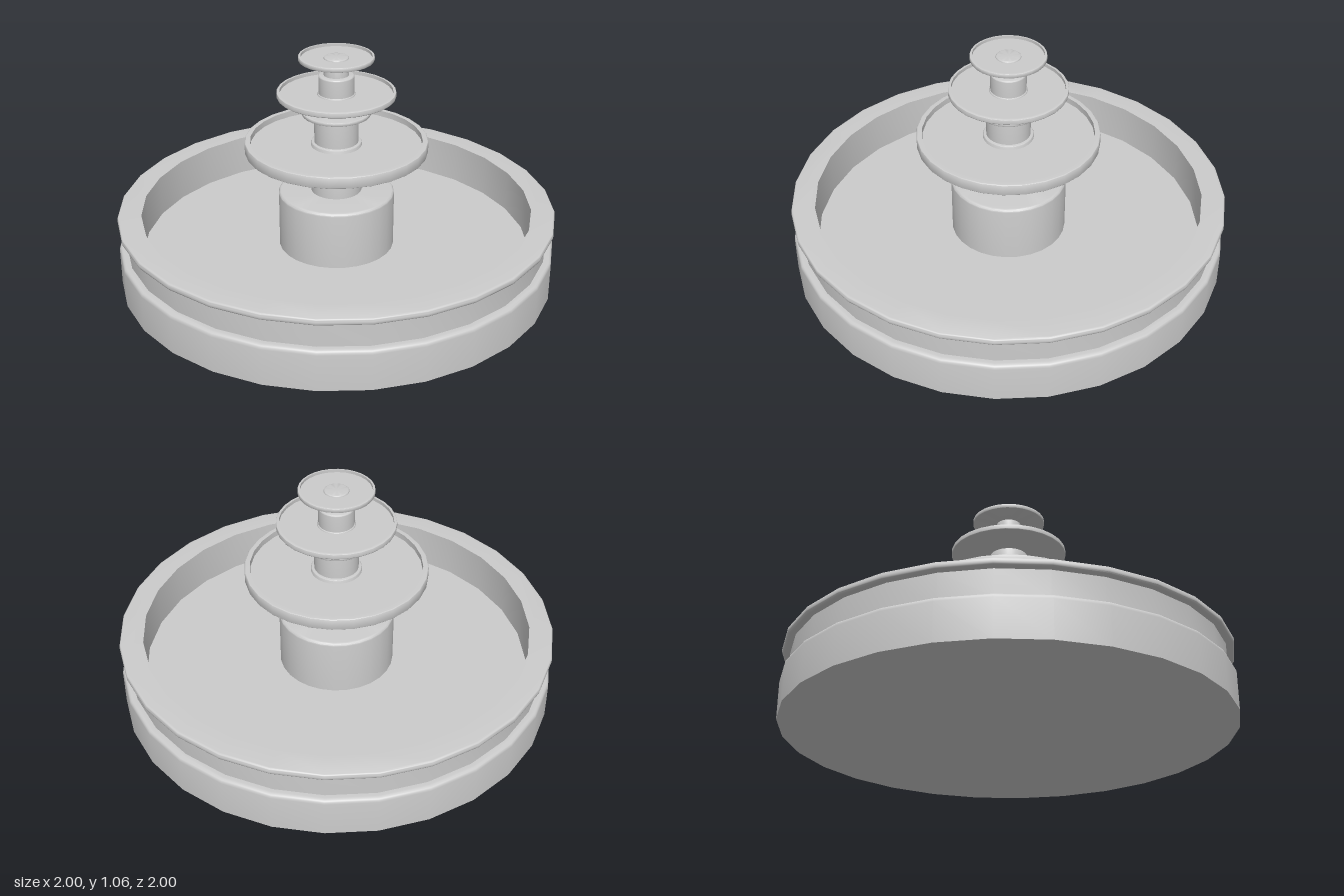
import * as THREE from 'three';
import { toCreasedNormals } from 'three/addons/utils/BufferGeometryUtils.js';

const SIDES = 28;
const material = new THREE.MeshStandardMaterial({ color: 0xcccccc });

// Replaces each corner [radius, y, rounding] of a profile by a short arc.
function roundProfile(corners) {
  const points = [];
  corners.forEach(([r, y, rounding = 0], i) => {
    const corner = new THREE.Vector2(r, y);
    if (!rounding) return points.push(corner);
    const toward = ([r2, y2]) =>
      new THREE.Vector2(r2, y2).sub(corner).setLength(rounding).add(corner);
    const arc = new THREE.QuadraticBezierCurve(toward(corners[i - 1]), corner, toward(corners[i + 1]));
    points.push(...arc.getPoints(4));
  });
  return points;
}

// Turned part: the profile runs from the bottom centre outwards, up and back to the axis.
function turned(name, corners) {
  const lathe = new THREE.LatheGeometry(roundProfile(corners), SIDES);
  const mesh = new THREE.Mesh(toCreasedNormals(lathe, 0.6), material);
  mesh.name = name;
  return mesh;
}

// Solid drum with a rounded top edge.
function drum(name, radius, bottom, top, rounding) {
  return turned(name, [[0, bottom], [radius, bottom], [radius, top, rounding], [0, top]]);
}

// Shallow dish with a raised lip around a sunken floor.
function dish(name, radius, bottom, top, lip, floor) {
  const e = Math.min(0.006, lip * 0.4);
  return turned(name, [
    [0, bottom], [radius, bottom, e], [radius, top, e],
    [radius - lip, top], [radius - lip, floor], [0, floor],
  ]);
}

export function createModel() {
  const model = new THREE.Group();
  model.name = 'tieredFountain';

  // Basin: wide foot, recessed wall, overhanging rim and sunken floor
  model.add(turned('basin', [
    [0, 0], [1, 0], [1, 0.187, 0.02], [0.965, 0.187],
    [0.965, 0.303], [1, 0.303, 0.012], [1, 0.334, 0.012],
    [0.892, 0.334], [0.892, 0.14], [0, 0.14],
  ]));

  // Pedestal and the stepped column
  model.add(drum('pedestal', 0.265, 0.14, 0.41, 0.015));
  const columns = [
    [0.115, 0.4, 0.65],
    [0.1, 0.64, 0.785],
    [0.086, 0.78, 0.882],
    [0.08, 0.87, 0.967],
    [0.056, 0.95, 1.05],
  ];
  columns.forEach(([r, bottom, top], i) => {
    model.add(drum(`column${i + 1}`, r, bottom, top, 0.008));
  });

  // Dishes, from the lowest to the top
  model.add(dish('lowerDish', 0.414, 0.607, 0.66, 0.025, 0.632));
  model.add(dish('collarDish', 0.155, 0.781, 0.797, 0.01, 0.79));
  model.add(dish('middleDish', 0.266, 0.867, 0.892, 0.013, 0.876));
  model.add(dish('topDish', 0.168, 1.036, 1.056, 0.01, 1.043));

  return model;
}
